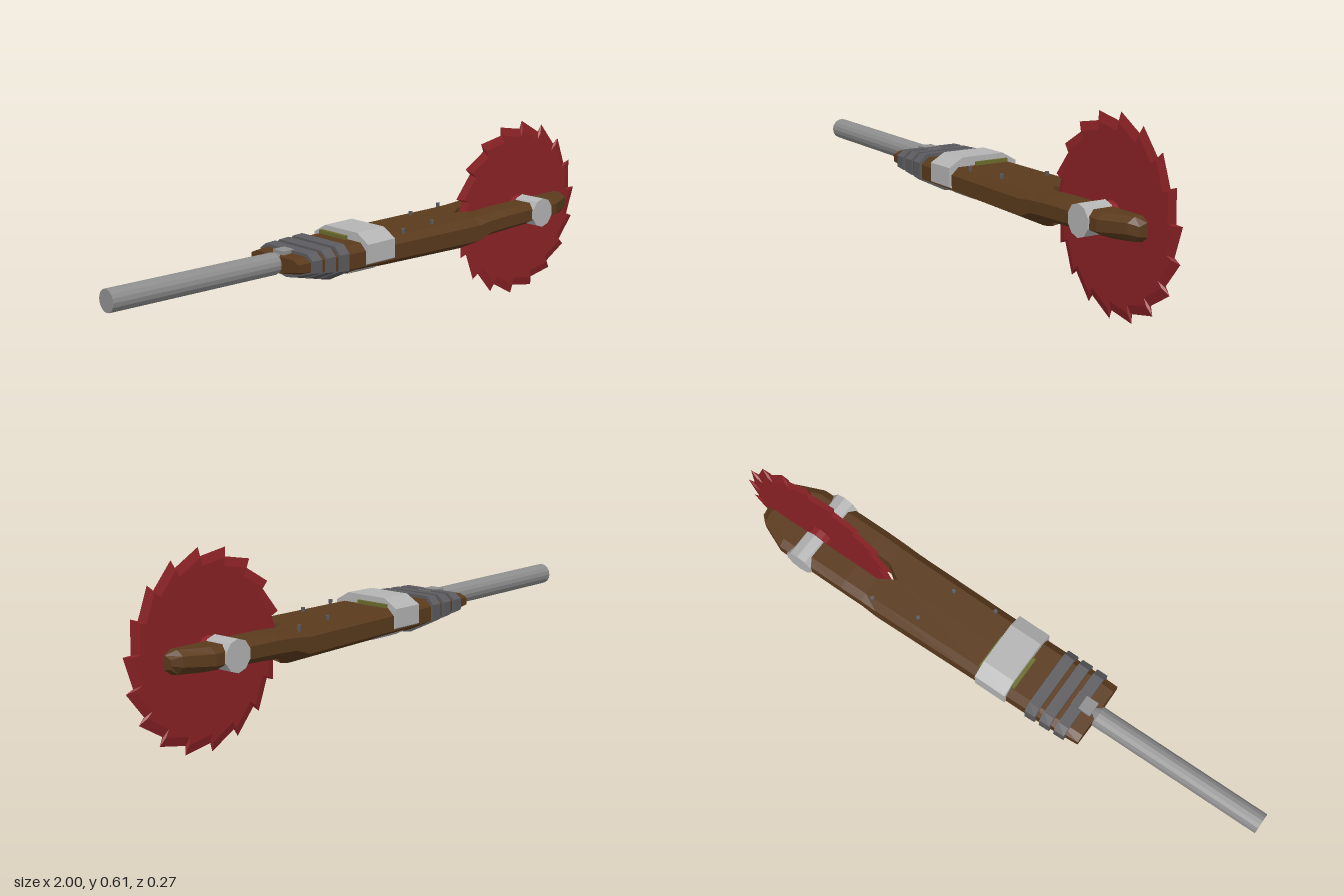
import * as THREE from 'three';

const mat = (color) => new THREE.MeshStandardMaterial({ color, flatShading: true });
const wood = mat(0x5a3a1c), red = mat(0x8c2226), steel = mat(0xb4b4b4);
const rodGrey = mat(0x8e8e8e), iron = mat(0x5c5c60), olive = mat(0x6b6b2c);

function add(parent, name, geometry, material, x = 0, y = 0, z = 0) {
  const mesh = new THREE.Mesh(geometry, material);
  mesh.name = name;
  mesh.position.set(x, y, z);
  parent.add(mesh);
  return mesh;
}

function fromTriangles(pos) {
  const g = new THREE.BufferGeometry();
  g.setAttribute('position', new THREE.Float32BufferAttribute(pos, 3));
  g.computeVertexNormals();
  return g;
}

// Half of the beam's cross-section: flat top, upright flank, keel-like underside
function halfRing([x, top, bottom, outer, inner], side, bevel) {
  const h = top - bottom;
  const p = [
    [inner, top],
    [Math.max(inner, outer - bevel), top],
    [outer, top - h * 0.2],
    [outer, bottom + h * 0.38],
    [Math.min(inner + 0.03, outer), bottom + 0.005],
    [inner, bottom],
  ].map(([z, y]) => [x, y, z * side]);
  return side > 0 ? p : p.reverse();
}

// Joins the half sections along x and closes both ends
function loftHalf(sections, side, bevel = 0.025) {
  const rings = sections.map((s) => halfRing(s, side, bevel));
  const pos = [], n = rings[0].length;
  const tri = (...pts) => pts.forEach((p) => pos.push(...p));
  for (let i = 0; i < rings.length - 1; i++) {
    const a = rings[i], b = rings[i + 1];
    for (let j = 0; j < n; j++) {
      const k = (j + 1) % n;
      tri(a[j], a[k], b[k]);
      tri(a[j], b[k], b[j]);
    }
  }
  const first = rings[0], last = rings[rings.length - 1];
  for (let j = 1; j < n - 1; j++) {
    tri(first[0], first[j + 1], first[j]);
    tri(last[0], last[j], last[j + 1]);
  }
  return fromTriangles(pos);
}

function addLoft(parent, name, sections, material, bevel) {
  const g = new THREE.Group();
  g.name = name;
  for (const side of [1, -1]) add(g, name + (side > 0 ? 'Left' : 'Right'), loftHalf(sections, side, bevel), material);
  parent.add(g);
}

// Saw disc: flat middle, edge ground down to a line, raked teeth
function sawGeometry(radius, root, teeth, halfThick) {
  const edge = [], pos = [];
  for (let i = 0; i < teeth; i++) {
    const a = 0.08 + (i / teeth) * Math.PI * 2;
    for (const [r, t] of [[radius, a + 0.03], [root, a + 0.045]]) edge.push([r * Math.cos(t), r * Math.sin(t)]);
  }
  edge.forEach((e, i) => {
    const f = edge[(i + 1) % edge.length];
    for (const s of [1, -1]) {
      const [p, q] = s > 0 ? [e, f] : [f, e];
      const z = halfThick * s, k = 0.9;
      const pi = [p[0] * k, p[1] * k, z], qi = [q[0] * k, q[1] * k, z];
      pos.push(0, 0, z, ...pi, ...qi);
      pos.push(...pi, ...p, 0, ...q, 0);
      pos.push(...pi, ...q, 0, ...qi);
    }
  });
  return fromTriangles(pos);
}

export function createModel() {
  const model = new THREE.Group();
  model.name = 'sawWeapon';
  const haft = new THREE.Group();
  haft.name = 'haft';
  haft.rotation.y = 0.014;
  model.add(haft);

  // Wooden beam that splits into two fork arms: x, top, bottom, outer z, inner z
  const beam = [
    [-0.395, 0.325, 0.27, 0.112, 0],
    [-0.3, 0.332, 0.245, 0.115, 0],
    [-0.2, 0.335, 0.222, 0.115, 0],
    [0, 0.335, 0.22, 0.116, 0],
    [0.385, 0.337, 0.214, 0.121, 0],
    [0.44, 0.338, 0.245, 0.122, 0.034],
    [0.52, 0.343, 0.25, 0.123, 0.034],
    [0.77, 0.346, 0.262, 0.123, 0.034],
    [0.86, 0.347, 0.272, 0.085, 0.034],
    [0.885, 0.332, 0.29, 0.062, 0.034],
  ];
  addLoft(haft, 'forkedBeam', beam, wood);

  // Iron bands around the tapered end
  const bandAt = (x, grow) => {
    const t = THREE.MathUtils.clamp((x + 0.395) / 0.195, 0, 1);
    return [x, 0.326 + 0.01 * t + grow, 0.268 - 0.046 * t - grow, 0.114 + grow, 0];
  };
  for (const x of [-0.33, -0.275, -0.22]) {
    addLoft(haft, 'ironBand', [bandAt(x - 0.019, 0.009), bandAt(x + 0.019, 0.009)], iron);
  }

  // Steel clamp with padding under it
  addLoft(haft, 'clamp', [[-0.125, 0.363, 0.218, 0.125, 0], [-0.01, 0.365, 0.218, 0.125, 0]], steel, 0.05);
  add(haft, 'clampPadding', new THREE.BoxGeometry(0.135, 0.02, 0.12), olive, -0.07, 0.337, -0.03);

  // Handle rod with a short tapered socket
  const rod = add(haft, 'handleRod', new THREE.CylinderGeometry(0.035, 0.035, 0.6, 16), rodGrey, -0.7, 0.3, 0);
  rod.rotation.z = Math.PI / 2;
  const socket = add(haft, 'handleSocket', new THREE.CylinderGeometry(0.035, 0.025, 0.03, 16), rodGrey, -0.385, 0.3, 0);
  socket.rotation.z = Math.PI / 2;
  add(haft, 'handleLug', new THREE.BoxGeometry(0.07, 0.02, 0.05), rodGrey, -0.345, 0.328, 0);

  // Nails in the top of the beam
  for (const [x, z] of [[0.21, 0.07], [0.25, -0.07], [0.41, -0.1], [0.06, 0.09]]) {
    add(haft, 'nail', new THREE.CylinderGeometry(0.007, 0.005, 0.02, 6), iron, x, 0.34, z);
  }

  // Axle ends through the fork arms
  for (const s of [1, -1]) {
    const axle = add(haft, 'axleEnd', new THREE.CylinderGeometry(0.05, 0.05, 0.094, 10), steel, 0.69, 0.31, s * 0.081);
    axle.rotation.x = Math.PI / 2;
  }

  // Blade and its hub
  const hub = add(model, 'bladeHub', new THREE.CylinderGeometry(0.044, 0.044, 0.066, 12), red, 0.69, 0.31, -0.008);
  hub.rotation.x = Math.PI / 2;
  add(model, 'sawBlade', sawGeometry(0.305, 0.277, 18, 0.008), red, 0.695, 0.306, -0.008);
  return model;
}
